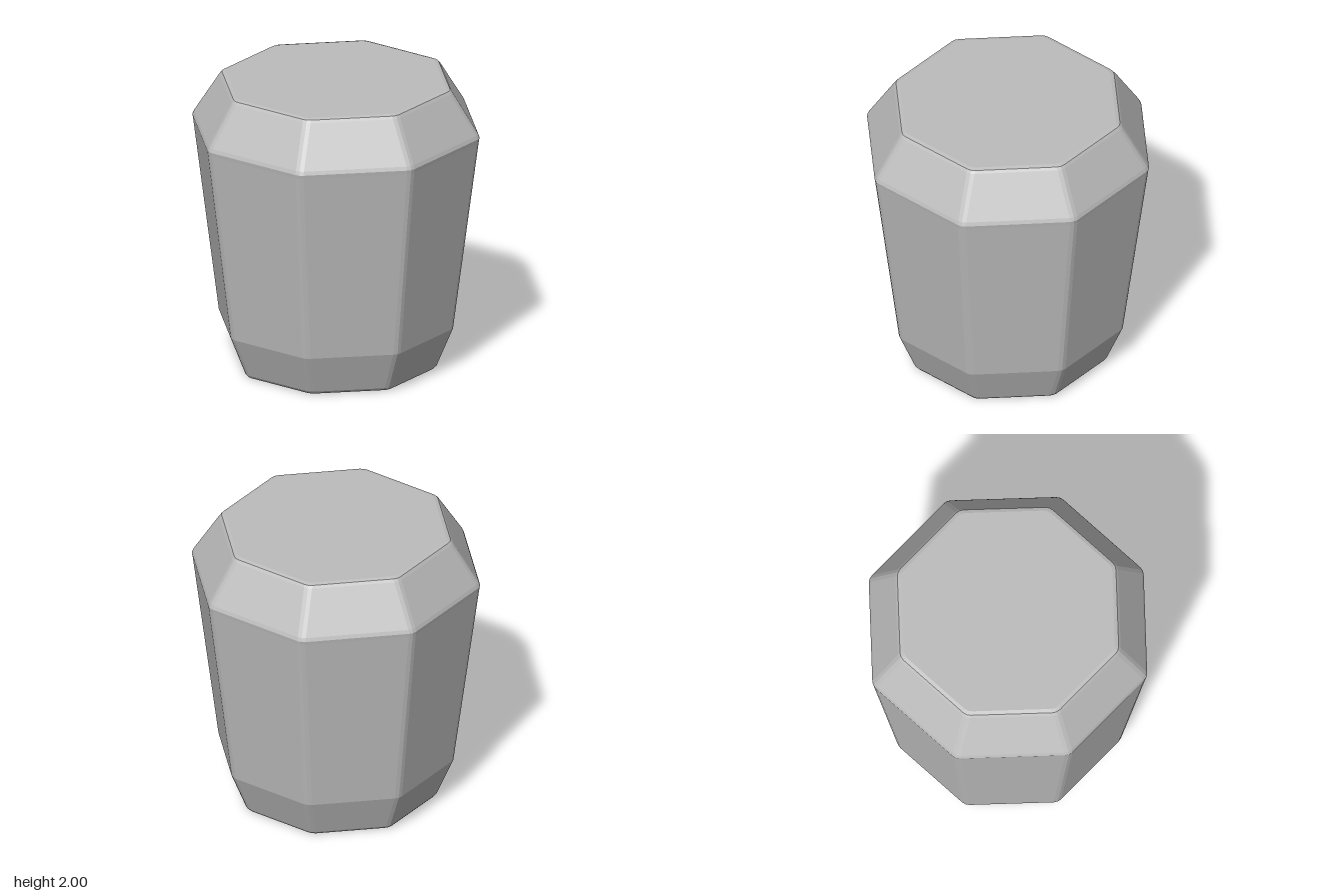
import * as THREE from 'three';

// Profile from base to top: [distance from axis to flat side, height]
const PROFILE = [
  [0.61, 0], [0.629, 0.006], [0.645, 0.025],
  [0.75, 0.3],
  [0.914, 1.645], [0.918, 1.67], [0.908, 1.695],
  [0.744, 1.975], [0.73, 1.993], [0.705, 2],
];
const SIDES = 8;
const BEVEL = 0.03;

// Octagonal cross-section with flats on the axes and softly bevelled corners
function ring(apothem, y) {
  const points = [];
  const half = apothem * Math.tan(Math.PI / SIDES);
  for (let i = 0; i < SIDES; i++) {
    const a = (i / SIDES) * Math.PI * 2;
    const b = ((i + 1) / SIDES) * Math.PI * 2;
    const at = (angle, t) => new THREE.Vector3(
      apothem * Math.cos(angle) - t * Math.sin(angle), y,
      apothem * Math.sin(angle) + t * Math.cos(angle));
    const start = at(a, half - BEVEL);
    const end = at(b, -(half - BEVEL));
    const middle = start.clone().add(end).multiplyScalar(0.25).addScaledVector(at(a, half), 0.5);
    points.push(start, middle, end);
  }
  return points;
}

function facetedSolid(profile) {
  const rings = profile.map(([r, y]) => ring(r, y));
  const n = rings[0].length;
  const positions = [];
  const tri = (...corners) => corners.forEach((p) => positions.push(p.x, p.y, p.z));
  const last = rings.length - 1;
  const bottom = new THREE.Vector3(0, profile[0][1], 0);
  const top = new THREE.Vector3(0, profile[last][1], 0);
  for (let j = 0; j < n; j++) {
    const k = (j + 1) % n;
    // Walls
    for (let i = 0; i < last; i++) {
      const low = rings[i], high = rings[i + 1];
      tri(low[j], high[j], low[k]);
      tri(low[k], high[j], high[k]);
    }
    // Caps
    tri(bottom, rings[0][j], rings[0][k]);
    tri(top, rings[last][k], rings[last][j]);
  }
  const geometry = new THREE.BufferGeometry();
  geometry.setAttribute('position', new THREE.Float32BufferAttribute(positions, 3));
  geometry.computeVertexNormals();
  return geometry;
}

export function createModel() {
  const model = new THREE.Group();
  model.name = 'octagonalBlock';
  const grey = new THREE.MeshStandardMaterial({ color: 0xbcbcbc });
  grey.name = 'grey';
  // Tapered octagonal body with chamfered top and foot
  const body = new THREE.Mesh(facetedSolid(PROFILE), grey);
  body.name = 'body';
  model.add(body);
  return model;
}
